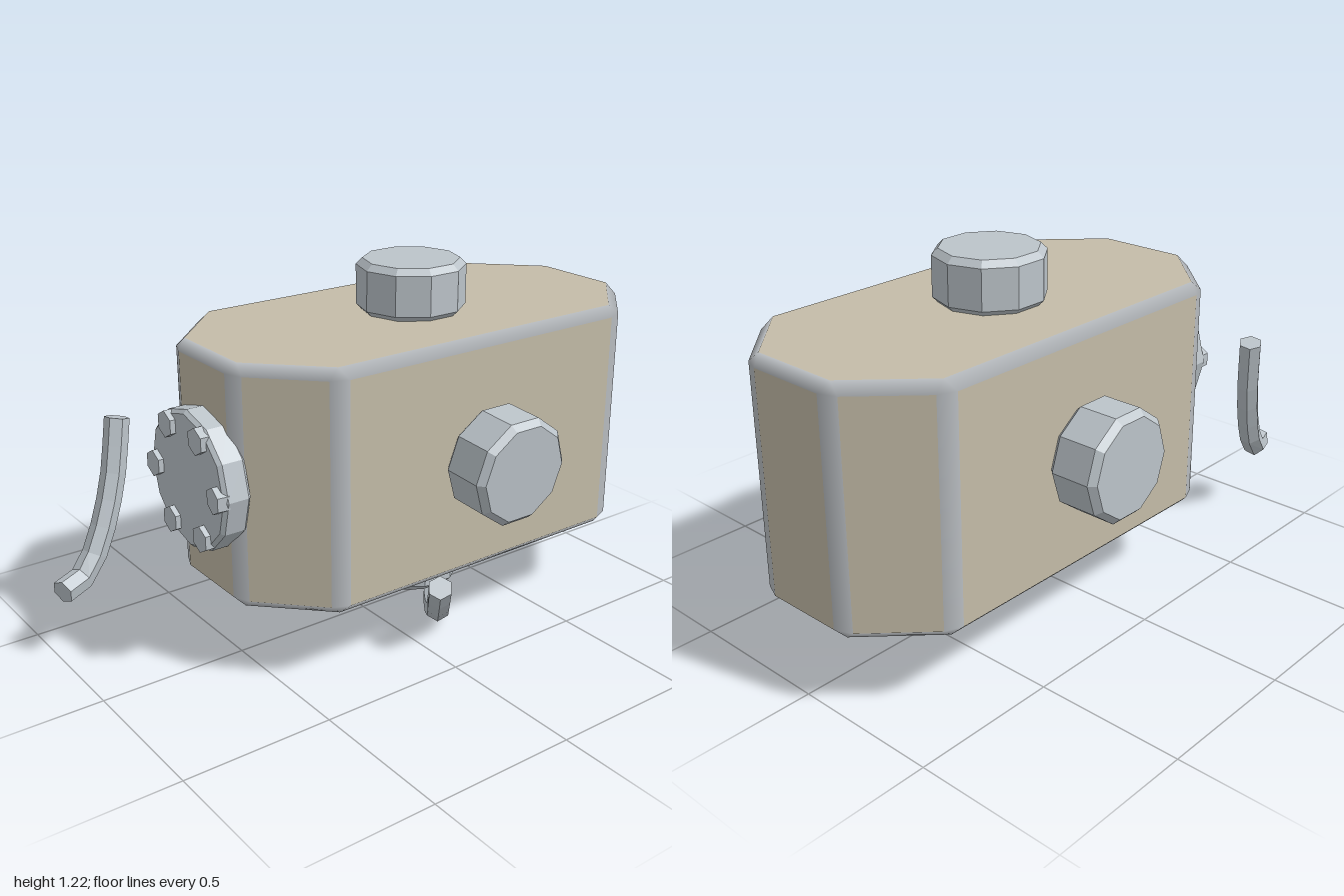
import * as THREE from 'three';

const mat = (name, color) => {
  const m = new THREE.MeshStandardMaterial({ color });
  m.name = name;
  return m;
};

// Faceted copy of a geometry
function faceted(geo) {
  const g = geo.index ? geo.toNonIndexed() : geo;
  g.computeVertexNormals();
  return g;
}

// Joins rings of n points each into a skin; ring order runs along the axis
function skinIndex(rings, n) {
  const index = [];
  for (let i = 0; i < rings - 1; i++) {
    for (let j = 0; j < n; j++) {
      const k = (j + 1) % n;
      const a = i * n + j, b = i * n + k, c = a + n, d = b + n;
      index.push(a, b, c, b, d, c);
    }
  }
  return index;
}

// Octagonal tank with softened edges; group 0 = panels, group 1 = edge strips
function tankGeometry(y0, y1, bevel) {
  const quad = (x, z, ex, ez) => [[-x, z], [x, z], [ex, ez], [ex, -ez], [x, -z], [-x, -z], [-ex, -ez], [-ex, ez]];
  const outer = quad(0.168, 0.797, 0.398, 0.57);
  const inner = quad(0.153, 0.765, 0.364, 0.555);
  const positions = [], normals = [];
  const heights = [y0, y0 + bevel, y1 - bevel, y1];
  heights.forEach((y, r) => {
    const isCap = r === 0 || r === 3;
    for (let f = 0; f < 8; f++) {
      const p = outer[f], q = outer[(f + 1) % 8];
      const len = Math.hypot(q[0] - p[0], q[1] - p[1]);
      const dx = (q[0] - p[0]) / len, dz = (q[1] - p[1]) / len;
      const ends = isCap
        ? [inner[f], inner[(f + 1) % 8]]
        : [[p[0] + dx * bevel, p[1] + dz * bevel], [q[0] - dx * bevel, q[1] - dz * bevel]];
      for (const e of ends) {
        positions.push(e[0], y, e[1]);
        if (isCap) normals.push(0, r === 0 ? -1 : 1, 0);
        else normals.push(-dz, 0, dx);
      }
    }
  });
  const panels = [], strips = [];
  const skin = skinIndex(4, 16);
  for (let q = 0; q < skin.length / 6; q++) {
    const ring = Math.floor(q / 16);
    const target = ring === 1 && q % 2 === 0 ? panels : strips;
    target.push(...skin.slice(q * 6, q * 6 + 6));
  }
  for (let j = 1; j < 15; j++) {
    panels.push(0, j + 1, j);
    panels.push(48, 48 + j, 48 + j + 1);
  }
  const g = new THREE.BufferGeometry();
  g.setAttribute('position', new THREE.Float32BufferAttribute(positions, 3));
  g.setAttribute('normal', new THREE.Float32BufferAttribute(normals, 3));
  g.setIndex([...panels, ...strips]);
  g.addGroup(0, panels.length, 0);
  g.addGroup(panels.length, strips.length, 1);
  return g;
}

// Closed hexagonal rod following a curve
function rodGeometry(points, radius, steps = 7) {
  const curve = new THREE.CatmullRomCurve3(points.map(p => new THREE.Vector3(...p)));
  const frames = curve.computeFrenetFrames(steps);
  const positions = [];
  const ring = (i, r) => {
    const c = curve.getPointAt(i / steps);
    for (let j = 0; j < 6; j++) {
      const a = (j / 6) * Math.PI * 2;
      const v = c.clone()
        .addScaledVector(frames.normals[i], Math.cos(a) * r)
        .addScaledVector(frames.binormals[i], Math.sin(a) * r);
      positions.push(v.x, v.y, v.z);
    }
  };
  ring(0, 0);
  for (let i = 0; i <= steps; i++) ring(i, radius);
  ring(steps, 0);
  const g = new THREE.BufferGeometry();
  g.setAttribute('position', new THREE.Float32BufferAttribute(positions, 3));
  g.setIndex(skinIndex(steps + 3, 6));
  return faceted(g);
}

// Faceted turned part with chamfered rims, from y = 0 to y = h
function turned(radius, h, chamfer, sides) {
  const profile = [
    [0, 0], [radius - chamfer, 0], [radius, chamfer],
    [radius, h - chamfer], [radius - chamfer, h], [0, h],
  ].map(p => new THREE.Vector2(...p));
  return faceted(new THREE.LatheGeometry(profile, sides));
}

export function createModel() {
  const model = new THREE.Group();
  const tan = mat('tan panel', 0xc4bca8);
  const trim = mat('worn edge', 0xb9bdc1);
  const steel = mat('steel', 0xbcc4ca);

  const cx = -0.007, cy = 0.652, cz = -0.2;
  const add = (name, geo, material, pos = [0, 0, 0], rot = [0, 0, 0]) => {
    const m = new THREE.Mesh(geo, material);
    m.name = name;
    m.position.set(...pos);
    m.rotation.set(...rot);
    model.add(m);
    return m;
  };

  // Tank body
  add('tank', tankGeometry(0.255, 1.05, 0.033), [tan, trim], [cx, 0, cz]);

  // Port caps on four sides; the left one sits slightly askew
  const cap = turned(0.181, 0.175, 0.021, 10);
  const H = Math.PI / 2;
  add('topCap', cap, steel, [cx, 1.046, cz]);
  add('bottomCap', cap, steel, [cx, 0.257, cz], [Math.PI, 0, 0]);
  add('rightCap', cap, steel, [-0.403, cy, cz], [0, 0, H]);
  add('leftCap', cap, steel, [0.393, cy + 0.006, cz], [0, 0, -H - 0.06]);

  // Front flange with a ring of hex bolts
  add('flange', turned(0.228, 0.093, 0.012, 12), steel, [cx, cy, 0.572], [H, 0, 0]);
  const bolt = faceted(new THREE.CylinderGeometry(0.044, 0.044, 0.04, 6));
  for (let i = 0; i < 6; i++) {
    const a = (i / 6) * Math.PI * 2;
    add('flangeBolt', bolt, steel,
      [cx + Math.cos(a) * 0.184, cy + Math.sin(a) * 0.184, 0.663],
      [H, 0, i === 0 ? 0.1 : 0]);
  }

  // Bent hexagonal handles
  add('frontHandle', rodGeometry([
    [-0.393, 0.75, 0.70], [-0.367, 0.55, 0.745], [-0.337, 0.37, 0.82],
    [-0.318, 0.27, 0.89], [-0.28, 0.252, 0.985],
  ], 0.041), steel);
  add('lowerHandle', rodGeometry([
    [0.42, 0.255, 0.005], [0.335, 0.135, -0.06], [0.26, 0.065, -0.12],
    [0.17, 0.04, -0.18], [0.09, 0.055, -0.25], [0.03, 0.1, -0.3],
  ], 0.041), steel);

  return model;
}
